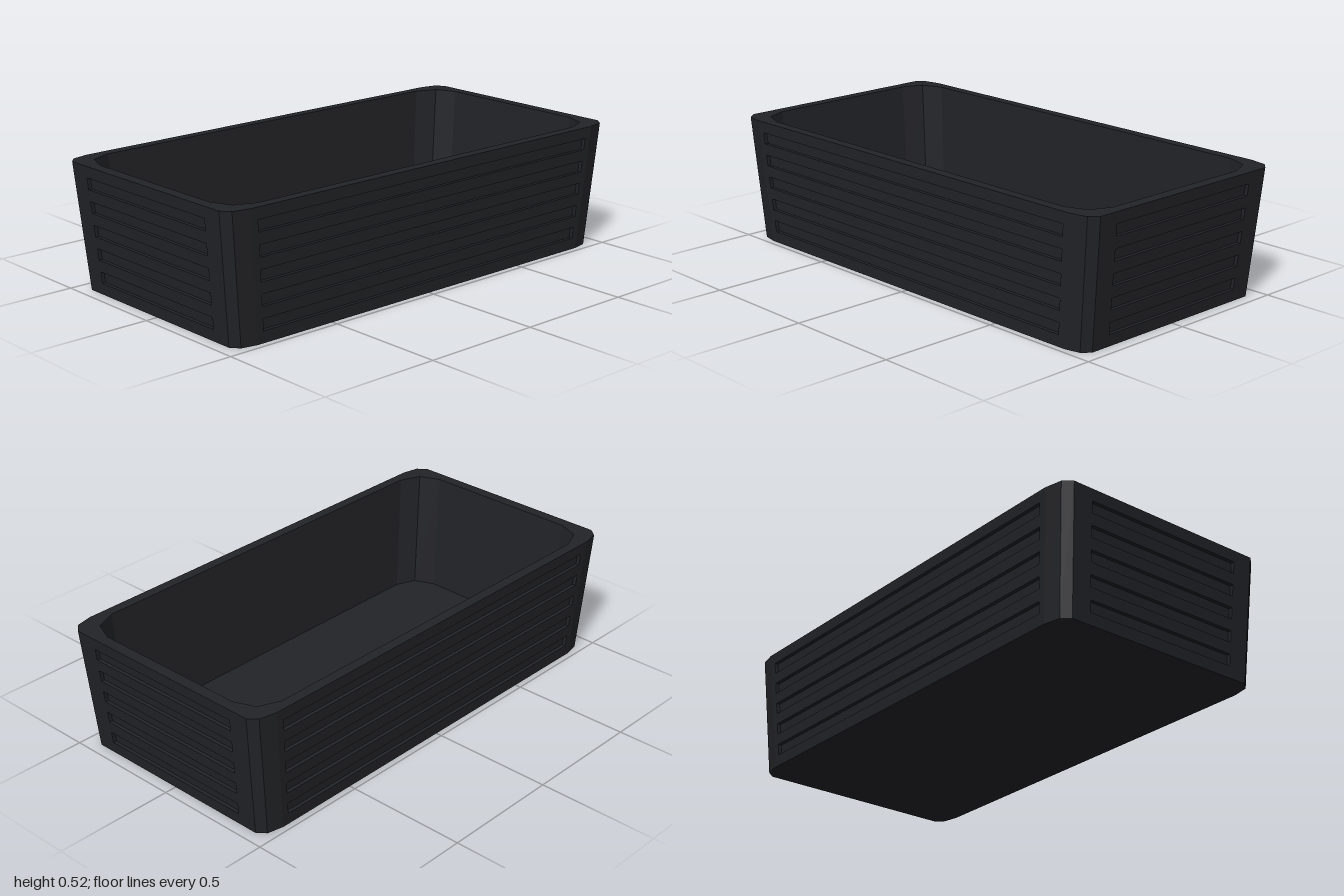
import * as THREE from 'three';

const H = 0.52, FLOOR = 0.025, DEPTH = 0.015;
const taper = (y) => 0.95 + 0.05 * (y / H);

// Rounded-rectangle ring: two facets per corner, tapered with height
function ring(hx, hz, rx, rz, y) {
  const s = taper(y), pts = [];
  for (let q = 0; q < 4; q++) {
    const sx = q === 0 || q === 3 ? 1 : -1, sz = q < 2 ? 1 : -1;
    for (let k = 0; k < 3; k++) {
      const a = (q * 2 + k) * Math.PI / 4;
      pts.push([(sx * (hx - rx) + rx * Math.cos(a)) * s, y, (sz * (hz - rz) + rz * Math.sin(a)) * s]);
    }
  }
  return pts;
}

// Collects faces and turns them into a flat-shaded mesh
class Faces {
  constructor() { this.p = []; }
  tri(a, b, c) { this.p.push(...a, ...b, ...c); }
  quad(a, b, c, d) { this.tri(a, b, c); this.tri(a, c, d); }
  band(lower, upper, keep = () => true) {
    lower.forEach((a, i) => {
      const j = (i + 1) % lower.length;
      if (keep(i)) this.quad(lower[j], a, upper[i], upper[j]);
    });
  }
  cap(pts, up) {
    const c = [0, pts[0][1], 0];
    pts.forEach((a, i) => {
      const b = pts[(i + 1) % pts.length];
      up ? this.tri(c, b, a) : this.tri(c, a, b);
    });
  }
  mesh(name, material) {
    const g = new THREE.BufferGeometry();
    g.setAttribute('position', new THREE.Float32BufferAttribute(this.p, 3));
    g.computeVertexNormals();
    const m = new THREE.Mesh(g, material);
    m.name = name;
    return m;
  }
}

export function createModel() {
  const group = new THREE.Group();
  group.name = 'storageBin';
  const material = new THREE.MeshStandardMaterial({ color: 0x222327, flatShading: true });
  const add = (name, build) => {
    const f = new Faces();
    build(f);
    group.add(f.mesh(name, material));
  };

  const outerBottom = ring(1, 0.5, 0.1, 0.05, 0);
  const outerTop = ring(1, 0.5, 0.1, 0.05, H);
  const innerTop = ring(0.953, 0.457, 0.122, 0.122, H);
  const innerBottom = ring(0.953, 0.457, 0.122, 0.122, FLOOR);

  add('corners', (f) => f.band(outerBottom, outerTop, (i) => i % 3 !== 2));
  add('rim', (f) => f.band(outerTop, innerTop));
  add('innerWalls', (f) => f.band(innerTop, innerBottom));
  add('floor', (f) => f.cap(innerBottom, true));
  add('underside', (f) => f.cap(outerBottom, false));

  // Four outer walls, each with five recessed horizontal grooves
  ['frontWall', 'leftWall', 'backWall', 'rightWall'].forEach((name, side) => {
    const long = side % 2 === 0;
    const out = long ? 0.5 : 1, half = long ? 0.9 : 0.45, slot = long ? 0.87 : 0.3625;
    const P = (u, y, d = 0) => {
      let x = u * taper(y), z = out * taper(y) - d;
      for (let k = 0; k < side; k++) [x, z] = [z, -x];
      return [x, y, z];
    };
    const rect = (u0, u1, y0, y1, d) => [P(u0, y0, d), P(u1, y0, d), P(u1, y1, d), P(u0, y1, d)];
    add(name, (f) => {
      f.quad(...rect(-half, -slot, 0, H));
      f.quad(...rect(slot, half, 0, H));
      let y = 0;
      for (let r = 0; r < 5; r++) {
        const y0 = 0.048 + r * 0.0945, y1 = y0 + 0.047;
        f.quad(...rect(-slot, slot, y, y0));
        const front = rect(-slot, slot, y0, y1);
        const back = rect(-slot, slot, y0, y1, DEPTH);
        f.quad(...back);
        for (let j = 0; j < 4; j++) {
          const n = (j + 1) % 4;
          f.quad(front[j], front[n], back[n], back[j]);
        }
        y = y1;
      }
      f.quad(...rect(-slot, slot, y, H));
    });
  });
  return group;
}
